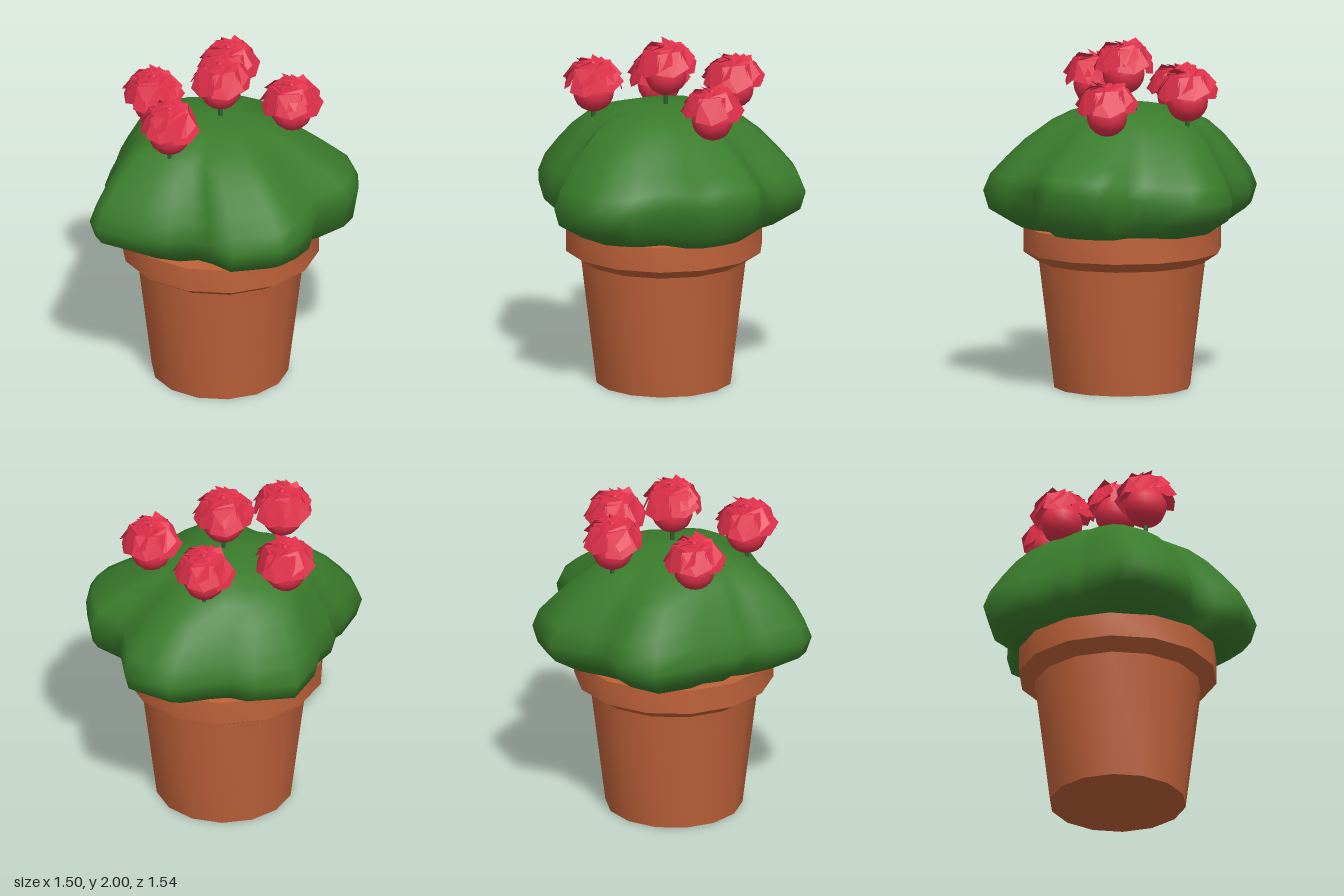
import * as THREE from 'three';
import { toCreasedNormals } from 'three/addons/utils/BufferGeometryUtils.js';

const mat = (color, extra = {}) => new THREE.MeshStandardMaterial({ color, ...extra });
const clay = mat(0xbf623a);
const leaf = mat(0x3a7c2c);
const stemGreen = mat(0x2f5f2a);
const red = mat(0xe0304a);
const petalRed = mat(0xe0304a, { side: THREE.DoubleSide, flatShading: true });

function add(parent, name, geometry, material) {
  const mesh = new THREE.Mesh(geometry, material);
  mesh.name = name;
  parent.add(mesh);
  return mesh;
}

// Fourteen-sided pot with a flared rim
function makePot() {
  const profile = [[0, 0], [0.392, 0], [0.48, 0.73], [0.57, 0.79], [0.57, 0.935],
    [0.49, 0.935], [0.47, 0.87], [0, 0.87]].map(([r, y]) => new THREE.Vector2(r, y));
  return toCreasedNormals(new THREE.LatheGeometry(profile, 14).rotateY(Math.PI / 2), 0.6);
}

// Lobed outline of the foliage seen from above (x, z)
const outline = [
  [0.06, -0.77], [0.2, -0.735], [0.35, -0.69], [0.42, -0.52], [0.45, -0.42], [0.52, -0.34],
  [0.64, -0.31], [0.69, -0.25], [0.73, -0.13], [0.75, 0.04], [0.71, 0.16], [0.54, 0.29],
  [0.53, 0.46], [0.47, 0.58], [0.38, 0.69], [0.11, 0.77], [-0.04, 0.65], [-0.15, 0.6],
  [-0.28, 0.64], [-0.46, 0.62], [-0.7, 0.52], [-0.75, 0.43], [-0.72, 0.21], [-0.67, 0.1],
  [-0.71, 0], [-0.66, -0.15], [-0.68, -0.27], [-0.63, -0.53], [-0.4, -0.62], [-0.26, -0.6],
  [-0.14, -0.65]];

// Rows of the foliage: outline scale, height, how round the row has become, shift in x
const rows = [
  [0, 0.93, 1, 0], [0.5, 0.93, 0.4, 0], [0.77, 0.935, 0.1, 0], [0.96, 1.03, 0, 0],
  [1, 1.13, 0, 0], [0.95, 1.23, 0, 0], [0.85, 1.33, 0.05, -0.02], [0.74, 1.43, 0.15, -0.04],
  [0.62, 1.51, 0.3, -0.06], [0.48, 1.57, 0.5, -0.06], [0.31, 1.61, 0.7, -0.05],
  [0.14, 1.63, 0.9, -0.04], [0, 1.635, 1, -0.04]];

function makeFoliage() {
  const cx = -0.03, n = outline.length, pos = [], index = [];
  rows.forEach(([s, y, round, shift], j) => {
    outline.forEach(([x, z], i) => {
      const a = Math.atan2(z, x - cx);
      const r = THREE.MathUtils.lerp(Math.hypot(x - cx, z), 0.7, round) * s;
      // The lobe on the +x side sits a little higher
      const raise = y > 1.1 ? Math.max(0, 1 - (y - 1.13) / 0.3) : 0;
      const lift = 0.09 * raise * Math.max(0, Math.cos(a)) ** 4;
      pos.push(cx + shift + r * Math.cos(a), y + lift, r * Math.sin(a));
      if (j === rows.length - 1) return;
      const p = j * n + i, q = j * n + (i + 1) % n;
      index.push(p, p + n, q, q, p + n, q + n);
    });
  });
  const g = new THREE.BufferGeometry();
  g.setAttribute('position', new THREE.Float32BufferAttribute(pos, 3));
  g.setIndex(index);
  g.computeVertexNormals();
  return g;
}

// One ring of folded petals; each petal is [radius, height, sideways] corners
function makePetals(count, corners, turn) {
  const pos = [];
  const faces = [[0, 1, 2], [1, 3, 5], [1, 5, 2], [2, 5, 4]];
  for (let k = 0; k < count; k++) {
    const a = turn + k / count * Math.PI * 2, c = Math.cos(a), s = Math.sin(a);
    const wobble = 0.012 * Math.sin(k * 2.4 + turn * 5);
    for (const f of faces) for (const v of f) {
      const [r, y, w] = corners[v];
      pos.push(r * c - w * s, y + (v > 2 ? wobble : 0), r * s + w * c);
    }
  }
  const g = new THREE.BufferGeometry();
  g.setAttribute('position', new THREE.Float32BufferAttribute(pos, 3));
  g.computeVertexNormals();
  return g;
}

// Petal corners: base, shoulders, outer corners, tip
const outerPetal = [[0.03, 0.28, 0], [0.1, 0.28, -0.06], [0.11, 0.27, 0.07],
  [0.15, 0.18, -0.105], [0.15, 0.15, 0.085], [0.168, 0.135, -0.01]];
const middlePetal = [[0.02, 0.29, 0], [0.08, 0.3, -0.06], [0.09, 0.275, 0.05],
  [0.145, 0.225, -0.085], [0.14, 0.17, 0.06], [0.16, 0.18, -0.01]];
const innerPetal = [[0.01, 0.285, 0], [0.04, 0.3, -0.035], [0.04, 0.285, 0.035],
  [0.09, 0.305, -0.055], [0.095, 0.27, 0.04], [0.115, 0.27, 0]];

function makeFlower() {
  const flower = new THREE.Group();
  add(flower, 'stem', new THREE.CylinderGeometry(0.013, 0.013, 0.3, 8).translate(0, -0.09, 0), stemGreen);
  add(flower, 'bud', new THREE.SphereGeometry(0.12, 12, 10).translate(0, 0.122, 0), red);
  add(flower, 'outerPetals', makePetals(6, outerPetal, 0.2), petalRed);
  add(flower, 'middlePetals', makePetals(5, middlePetal, 0.7), petalRed);
  add(flower, 'innerPetals', makePetals(5, innerPetal, 0.1), petalRed);
  add(flower, 'flowerCentre', new THREE.SphereGeometry(0.02, 8, 6).translate(0, 0.28, 0), red);
  return flower;
}

export function createModel() {
  const model = new THREE.Group();
  model.name = 'pottedFlowers';

  add(model, 'pot', makePot(), clay).position.set(-0.047, 0, 0.02);
  add(model, 'foliage', makeFoliage(), leaf);

  // Blooms: x, underside height, z
  const blooms = [[-0.045, 1.685, 0.01], [-0.045, 1.56, -0.41], [0.35, 1.505, -0.11],
    [-0.445, 1.505, -0.12], [-0.3, 1.56, 0.35]];
  blooms.forEach(([x, y, z], i) => {
    const flower = makeFlower();
    flower.name = `flower${i + 1}`;
    flower.position.set(x, y, z);
    flower.rotation.y = i * 0.9;
    model.add(flower);
  });
  return model;
}
